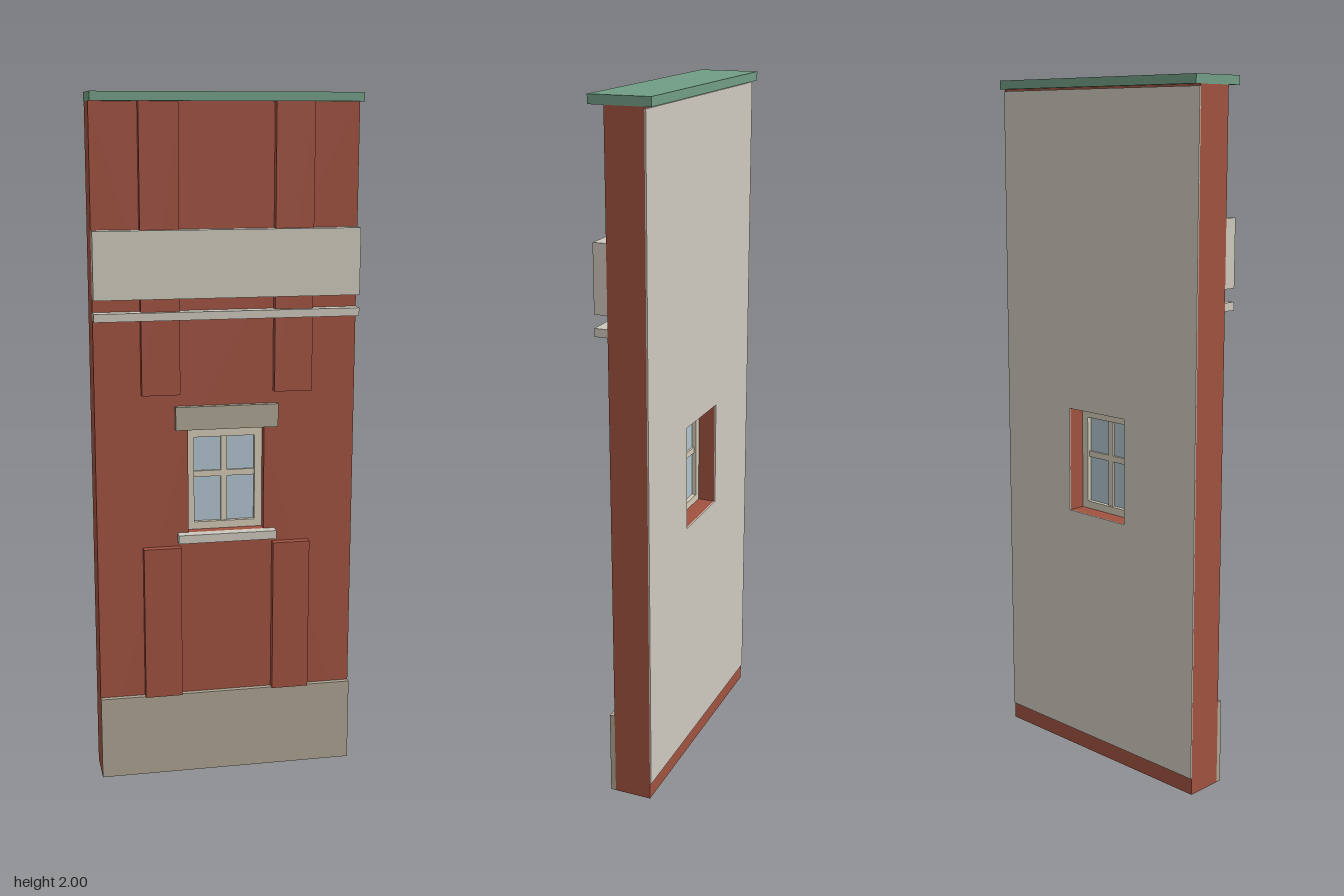
import * as THREE from 'three';

const mat = (name, color) => Object.assign(new THREE.MeshStandardMaterial({ color }), { name });

export function createModel() {
  const model = new THREE.Group();
  model.name = 'wallPanel';
  const brick = mat('brick red', 0xa05240);
  const trim = mat('pale stone', 0xcdc8bc);
  const stone = mat('grey stone', 0xada492);
  const plaster = mat('plaster', 0xcfc9bf);
  const frameMat = mat('window cream', 0xd2c9b6);
  const glassMat = mat('glass', 0xb0c4ce);
  const copper = mat('green copper', 0x719d85);

  const add = (name, geometry, material) => {
    const mesh = new THREE.Mesh(geometry, material);
    mesh.name = name;
    model.add(mesh);
    return mesh;
  };
  // Box given by its limits on each axis
  const box = (name, material, x0, x1, y0, y1, z0, z1) => {
    const mesh = add(name, new THREE.BoxGeometry(x1 - x0, y1 - y0, z1 - z0), material);
    mesh.position.set((x0 + x1) / 2, (y0 + y1) / 2, (z0 + z1) / 2);
  };
  // Upright slab with one rectangular opening
  const rect = (path, x, y0, y1) => {
    path.moveTo(-x, y0);
    path.lineTo(x, y0);
    path.lineTo(x, y1);
    path.lineTo(-x, y1);
    path.closePath();
    return path;
  };
  const slab = (name, material, outer, hole, z0, z1) => {
    const shape = rect(new THREE.Shape(), ...outer);
    shape.holes.push(rect(new THREE.Path(), ...hole));
    const geometry = new THREE.ExtrudeGeometry(shape, { depth: z1 - z0, bevelEnabled: false });
    add(name, geometry.translate(0, 0, z0), material);
  };

  const W = 0.38, FRONT = 0.042, BACK = -0.068;
  const opening = [0.112, 0.75, 1.06];

  // Wall, inner plaster and coping
  slab('brickWall', brick, [W, 0, 1.975], opening, BACK, FRONT);
  slab('backPlaster', plaster, [W, 0.05, 1.97], opening, BACK - 0.004, BACK);
  box('coping', copper, -W, W, 1.975, 2, -0.087, 0.087);

  // Full-width bands
  box('plinth', stone, -W, W, 0, 0.25, FRONT, 0.057);
  box('signBand', trim, -W, W, 1.44, 1.63, FRONT, 0.08);
  box('stringCourse', trim, -W, W, 1.38, 1.403, FRONT, 0.08);

  // Pilasters, interrupted around the window
  for (const side of [-1, 1]) {
    const x = side * 0.192, h = 0.055;
    box('lowerPilaster', brick, x - h, x + h, 0.25, 0.71, FRONT, 0.066);
    box('upperPilaster', brick, x - h, x + h, 1.165, 1.975, FRONT, 0.066);
  }

  // Window
  box('lintel', stone, -0.15, 0.15, 1.06, 1.128, FRONT, 0.06);
  box('sill', trim, -0.145, 0.145, 0.725, 0.75, FRONT, 0.074);
  slab('windowFrame', frameMat, opening, [0.09, 0.772, 1.028], -0.018, 0.014);
  box('glass', glassMat, -0.09, 0.09, 0.772, 1.028, -0.005, 0.001);
  box('mullion', frameMat, -0.009, 0.009, 0.772, 1.028, -0.012, 0.008);
  box('transom', frameMat, -0.09, 0.09, 0.907, 0.925, -0.011, 0.007);

  return model;
}
